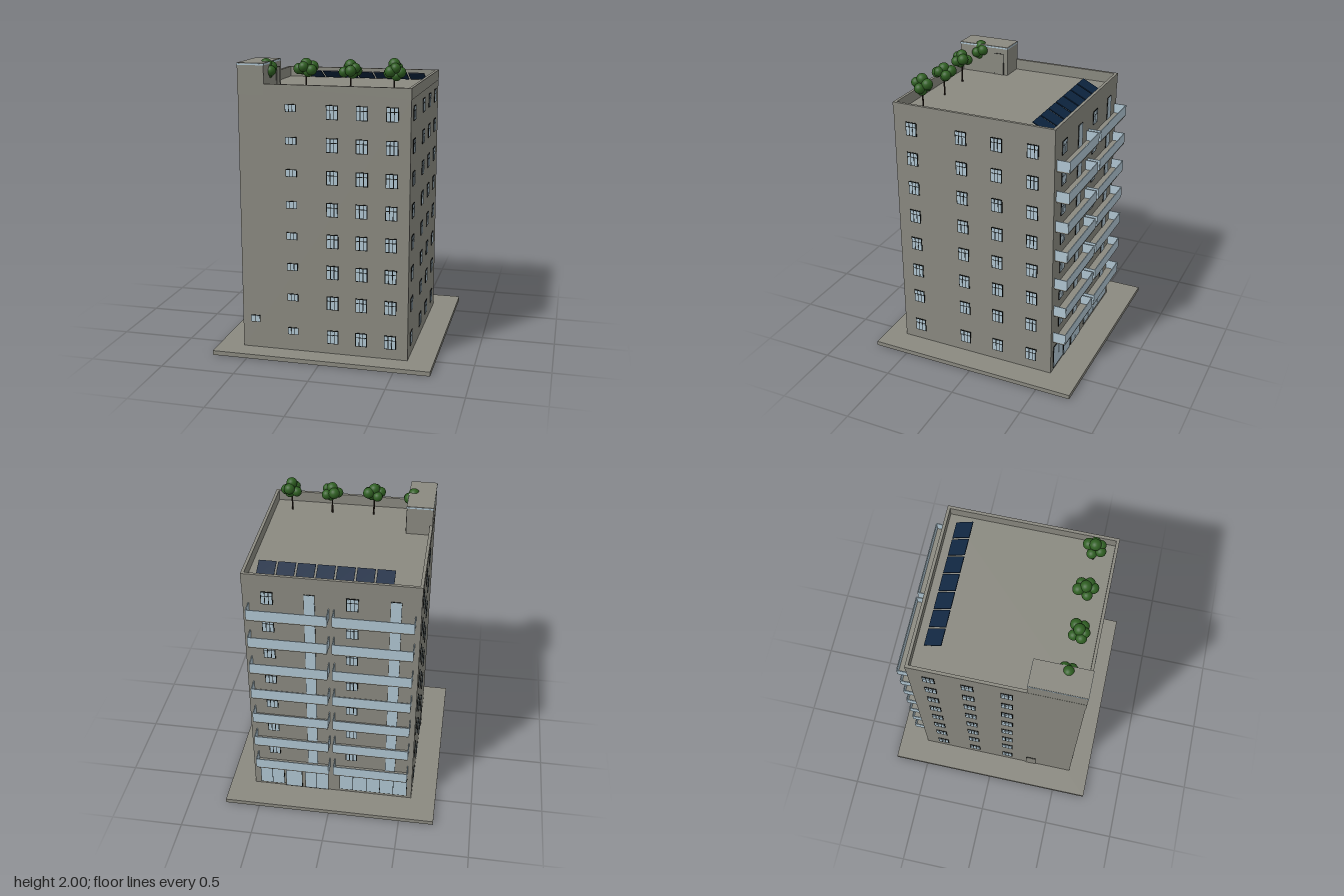
import * as THREE from 'three';
import { mergeGeometries } from 'three/addons/utils/BufferGeometryUtils.js';

const paint = (name, color) => {
  const m = new THREE.MeshStandardMaterial({ color });
  m.name = name;
  return m;
};

export function createModel() {
  const model = new THREE.Group();
  model.name = 'apartmentBlock';
  const concrete = paint('concrete', 0x8a8980);
  const glass = paint('paleGlass', 0xb0c6d2);
  const frame = paint('darkFrame', 0x0c0f0e);
  const leaf = paint('foliage', 0x2f5f22);
  const bark = paint('bark', 0x2a2018);
  const solar = paint('solarBlue', 0x0d2540);

  const add = (parent, name, geo, mat, x = 0, y = 0, z = 0) => {
    const m = new THREE.Mesh(geo, mat);
    m.name = name;
    m.position.set(x, y, z);
    parent.add(m);
    return m;
  };
  // box given by its limits on each axis
  const box = (parent, name, mat, x0, x1, y0, y1, z0, z1) =>
    add(parent, name, new THREE.BoxGeometry(x1 - x0, y1 - y0, z1 - z0), mat,
      (x0 + x1) / 2, (y0 + y1) / 2, (z0 + z1) / 2);

  // ground slab and main body
  const W = 0.568, F = 0.6, B = -0.535, DECK = 1.757, TOP = 1.83;
  box(model, 'groundSlab', concrete, -0.742, 0.742, 0, 0.03, -0.742, 0.742);
  box(model, 'mainBody', concrete, -W, W, 0.03, DECK, B, F - 0.002);

  // parapet ring
  const rect = (Type, x, z0, z1) => new Type([
    [-x, -z1], [x, -z1], [x, -z0], [-x, -z0]].map(p => new THREE.Vector2(...p)));
  const ring = rect(THREE.Shape, 0.57, B - 0.002, F);
  ring.holes.push(rect(THREE.Path, 0.55, B + 0.018, F - 0.02));
  const ringGeo = new THREE.ExtrudeGeometry(ring, { depth: TOP - DECK, bevelEnabled: false });
  ringGeo.rotateX(-Math.PI / 2);
  add(model, 'parapet', ringGeo, concrete, 0, DECK, 0);

  // stair house on the roof with a pale trim around its top
  box(model, 'stairHouse', concrete, -0.569, -0.391, DECK, 1.962, 0.231, 0.601);
  box(model, 'stairHouseTrim', glass, -0.571, -0.389, 1.948, 1.958, 0.229, 0.603);
  box(model, 'stairHouseDoorFrame', frame, -0.392, -0.389, DECK, 1.912, 0.259, 0.336);
  box(model, 'stairHouseDoor', concrete, -0.392, -0.387, DECK, 1.909, 0.262, 0.333);

  // wall groups: local x runs along the wall, local z points outwards
  const wall = (name, x, z, turn) => {
    const g = new THREE.Group();
    g.name = name;
    g.position.set(x, 0, z);
    g.rotation.y = turn;
    model.add(g);
    return g;
  };
  const front = wall('frontWall', 0, F - 0.002, 0);
  const right = wall('leftWall', W, 0, Math.PI / 2);
  const left = wall('rightWall', -W, 0, -Math.PI / 2);
  const back = wall('backWall', 0, B, Math.PI);

  // a window is a dark plate with glass panes on it; rows lists pane heights from the bottom
  const windowType = (w, h, cols, rows, bar = 0.005) => {
    const panes = [];
    const pw = (w - bar * (cols + 1)) / cols, free = h - bar * (rows.length + 1);
    let y = -h / 2 + bar;
    for (const part of rows) {
      const ph = free * part;
      for (let i = 0; i < cols; i++) {
        const g = new THREE.BoxGeometry(pw, ph, 0.003);
        g.translate(-w / 2 + bar + pw / 2 + i * (pw + bar), y + ph / 2, 0.004);
        panes.push(g);
      }
      y += ph + bar;
    }
    return { plate: new THREE.BoxGeometry(w, h, 0.008), panes: mergeGeometries(panes) };
  };
  const place = (parent, name, type, x, y) => {
    const g = new THREE.Group();
    g.name = name;
    g.position.set(x, y, 0);
    add(g, 'windowFrame', type.plate, frame);
    add(g, 'windowPanes', type.panes, glass);
    parent.add(g);
  };
  const large = windowType(0.079, 0.094, 3, [0.7, 0.3]);
  const strip = windowType(0.074, 0.05, 3, [1], 0.004);
  const small = windowType(0.066, 0.048, 2, [1], 0.004);
  const door = windowType(0.07, 0.16, 1, [1], 0.002);

  // repeated storeys
  const STEP = 0.2125;
  for (let i = 0; i < 8; i++) {
    const ground = i === 7;
    const y = ground ? 0.146 : 1.661 - STEP * i;
    for (const x of [0.06, 0.255, 0.45]) place(front, 'frontWindow', large, x, y);
    place(front, 'stairWindow', strip, -0.214, y + 0.02);
    for (const z of [0.472, 0.112, -0.138, -0.388]) place(right, 'sideWindow', large, -z, y);
    for (const z of [0.105, -0.15, -0.4]) place(left, 'sideWindow', large, z, y);
    if (ground) continue;
    for (const x of [0.41, -0.135]) place(back, 'backWindow', large, -x, y);
    for (const x of [0.138, -0.41]) place(back, 'balconyDoor', door, -x, y - 0.031);

    // pair of balconies with glass rails
    const s = 1.535 - STEP * i;
    for (const [x0, x1] of [[-0.533, -0.019], [0.016, 0.53]]) {
      const g = new THREE.Group();
      g.name = 'balcony';
      model.add(g);
      box(g, 'balconySlab', concrete, x0, x1, s, s + 0.014, -0.62, B);
      box(g, 'frontRail', glass, x0, x1, s + 0.01, s + 0.082, -0.623, -0.617);
      for (const x of [x0, x1])
        box(g, 'sideRail', glass, x - 0.003, x + 0.003, s + 0.01, s + 0.082, -0.62, B);
    }
  }
  place(front, 'entranceWindow', small, -0.479, 0.234);

  // side entrance
  box(left, 'sideDoorFrame', frame, 0.252, 0.328, 0.03, 0.178, 0, 0.003);
  box(left, 'sideDoor', concrete, 0.255, 0.325, 0.03, 0.175, 0, 0.005);

  // ground floor glazing at the back
  for (const [x0, x1, y0, cols] of [[0.35, 0.525, 0.045, 2], [0.22, 0.34, 0.031, 1],
    [0.03, 0.2, 0.031, 2], [-0.535, -0.05, 0.05, 5]])
    place(back, 'shopfront', windowType(x1 - x0, 0.215 - y0, cols, [1], 0.004),
      -(x0 + x1) / 2, (y0 + 0.215) / 2);

  // tilted solar panels facing the back
  for (let i = 0; i < 7; i++) {
    const p = add(model, 'solarPanel', new THREE.BoxGeometry(0.115, 0.006, 0.127), solar,
      -0.326 + i * 0.1267, 1.793, -0.407);
    p.rotation.x = -0.46;
  }

  // roof trees: clusters of leaf balls [x, y, z, radius] on thin trunks
  const balls = [
    [-0.045, -0.005, 0.01, 0.036], [0.042, 0.008, -0.018, 0.038], [0, 0.03, 0, 0.038],
    [0.03, -0.012, 0.035, 0.035], [-0.015, -0.018, -0.04, 0.034], [0.012, -0.03, 0.01, 0.034],
    [-0.02, 0.012, 0.036, 0.033]];
  const ball = new THREE.IcosahedronGeometry(1, 3);
  const tree = (x, z, y, turn, sx, sy, sz) => {
    const g = new THREE.Group();
    g.name = 'roofTree';
    g.position.set(x, 0, z);
    add(g, 'trunk', new THREE.CylinderGeometry(0.004, 0.006, y - DECK, 8), bark, 0, (y + DECK) / 2, 0);
    for (const [bx, by, bz, r] of balls) {
      const c = Math.cos(turn), s = Math.sin(turn);
      add(g, 'leafBall', ball, leaf, (bx * c + bz * s) * sx, y + by * sy, (bz * c - bx * s) * sz)
        .scale.setScalar(r);
    }
    model.add(g);
  };
  tree(-0.42, 0.452, 1.913, 0.4, 0.85, 1, 0.85);
  tree(-0.145, 0.465, 1.926, 0.3, 1.05, 0.85, 0.9);
  tree(0.145, 0.45, 1.921, 1.6, 1, 0.9, 1.05);
  tree(0.43, 0.455, 1.925, 0.9, 0.9, 1.23, 0.95);
  return model;
}
